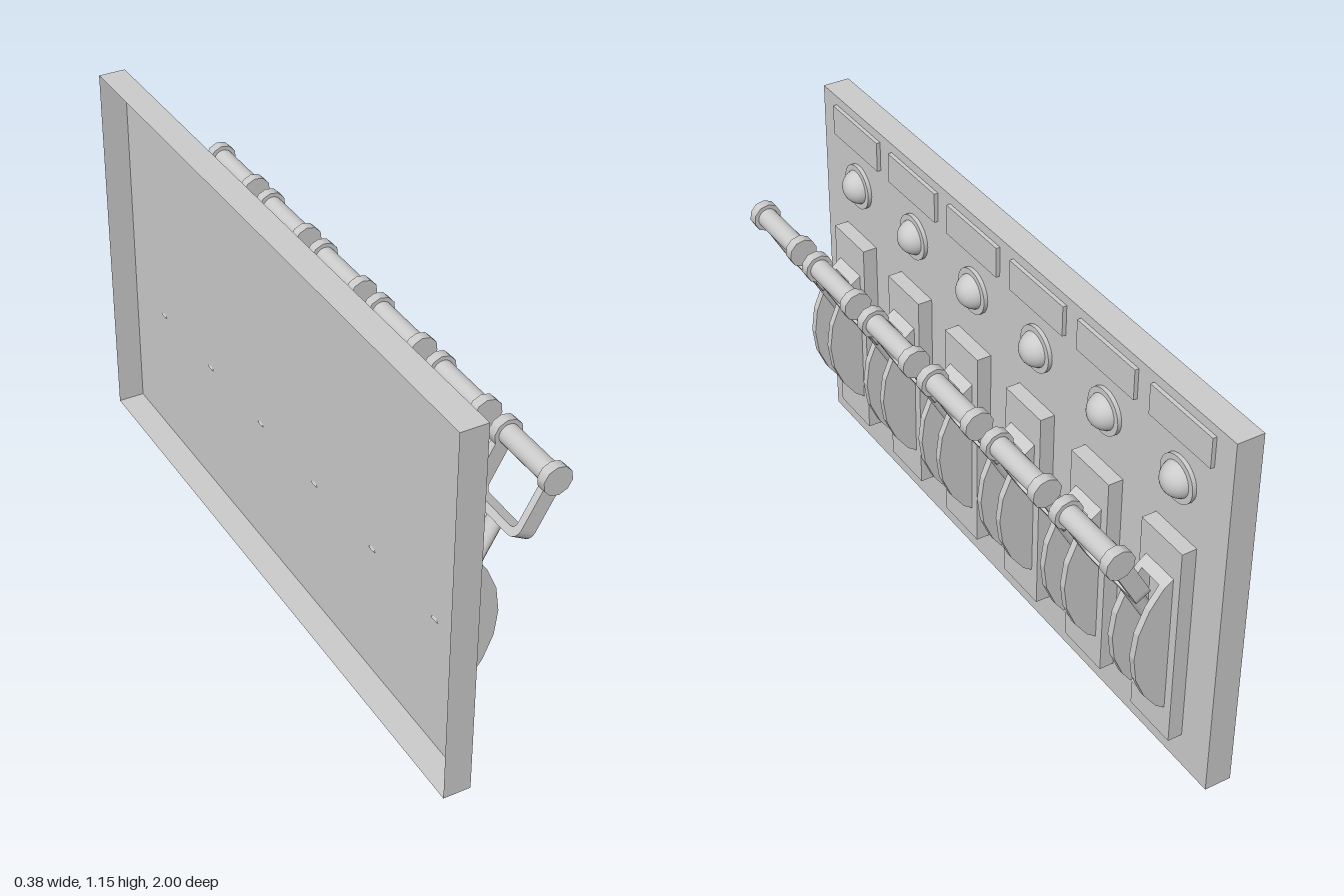
import * as THREE from 'three';

const mat = new THREE.MeshStandardMaterial({ color: 0xcccccc });
const openMat = new THREE.MeshStandardMaterial({ color: 0xcccccc, side: THREE.DoubleSide });

const FACE = -0.112;   // front surface of the panel
const PLATE = -0.068;  // front surface of a lever base plate

function add(parent, name, geo, x = 0, y = 0, z = 0, material = mat) {
  const m = new THREE.Mesh(geo, material);
  m.name = name;
  m.position.set(x, y, z);
  parent.add(m);
  return m;
}

// Slab between two x values
function slab(parent, name, x0, x1, y0, y1, width) {
  return add(parent, name, new THREE.BoxGeometry(x1 - x0, y1 - y0, width), (x0 + x1) / 2, (y0 + y1) / 2);
}

// Profile in x/y given as points, extruded along z and centred there
function prism(points, width) {
  const g = new THREE.ExtrudeGeometry(new THREE.Shape(points.map(p => new THREE.Vector2(...p))),
    { depth: width, bevelEnabled: false });
  return g.translate(0, 0, -width / 2);
}

// Slotted quadrant: two cheeks joined by a solid block at each end
function addQuadrant(parent) {
  const g = new THREE.Group();
  g.name = 'quadrant';
  const arc = [[PLATE, 0.205], [-0.04, 0.225], [0, 0.28], [0.03, 0.35], [0.04, 0.427],
    [0.03, 0.504], [0, 0.575], [-0.04, 0.63], [PLATE, 0.65]];
  for (const s of [-1, 1]) add(g, 'quadrantCheek', prism(arc, 0.021), 0, 0, s * 0.0485);
  add(g, 'quadrantLowerEnd', prism([[PLATE, 0.205], [-0.04, 0.225], [-0.026, 0.245], [PLATE, 0.245]], 0.076));
  add(g, 'quadrantUpperEnd', prism([[PLATE, 0.63], [-0.04, 0.63], [PLATE, 0.65]], 0.076));
  parent.add(g);
}

// Rounded U outline of the handle yoke; half width w, bottom b, top t, corner radius r
function uPoints(w, b, t, r) {
  const pts = [[-w, t]];
  for (let i = 0; i <= 6; i++) {
    const a = Math.PI + i * Math.PI / 12;
    pts.push([-w + r + r * Math.cos(a), b + r + r * Math.sin(a)]);
  }
  return pts.concat(pts.slice().reverse().map(([x, y]) => [-x, y]));
}

function addLever(parent) {
  const g = new THREE.Group();
  g.name = 'lever';
  g.position.set(-0.098, 0.405, 0);
  g.rotation.z = -0.511;

  const stem = add(g, 'leverStem', new THREE.CylinderGeometry(0.021, 0.021, 0.325, 20), 0, 0.1625, 0);
  stem.scale.z = 1.25;

  const outline = uPoints(0.119, 0.315, 0.5, 0.035).concat(uPoints(0.097, 0.338, 0.5, 0.02).reverse());
  add(g, 'yoke', prism(outline, 0.048).rotateY(Math.PI / 2));

  add(g, 'grip', new THREE.CylinderGeometry(0.03, 0.03, 0.24, 20).rotateX(Math.PI / 2), 0, 0.501, 0);
  for (const s of [-1, 1]) {
    add(g, 'gripCap', new THREE.CylinderGeometry(0.043, 0.043, 0.03, 10).rotateX(Math.PI / 2), 0, 0.501, s * 0.111);
  }
  parent.add(g);
}

function addLamp(parent) {
  const bezel = new THREE.CylinderGeometry(0.068, 0.068, 0.012, 28).rotateZ(-Math.PI / 2);
  add(parent, 'lampBezel', bezel, FACE + 0.006, 0.918, 0);
  const dome = new THREE.SphereGeometry(0.053, 24, 10, 0, Math.PI * 2, 0, Math.PI / 2).rotateZ(-Math.PI / 2);
  add(parent, 'lampDome', dome, FACE, 0.918, 0);
}

export function createModel() {
  const model = new THREE.Group();
  model.name = 'leverPanel';

  // Thin-walled panel, open at the back (-x side left out)
  const shell = new THREE.BoxGeometry(0.081, 1.155, 2);
  shell.setIndex(Array.from(shell.index.array).filter((_, i) => i < 6 || i > 11));
  shell.clearGroups();
  add(model, 'panel', shell, FACE - 0.0405, 0.5775, 0, openMat);

  // Six identical lever stations along the panel
  for (let i = 0; i < 6; i++) {
    const station = new THREE.Group();
    station.name = 'station';
    station.position.z = (i - 2.5) * 0.319;
    slab(station, 'labelPlate', FACE, -0.1, 1.035, 1.127, 0.254);
    slab(station, 'basePlate', FACE, PLATE, 0.104, 0.75, 0.172);
    addLamp(station);
    addQuadrant(station);
    addLever(station);
    model.add(station);
  }
  return model;
}
